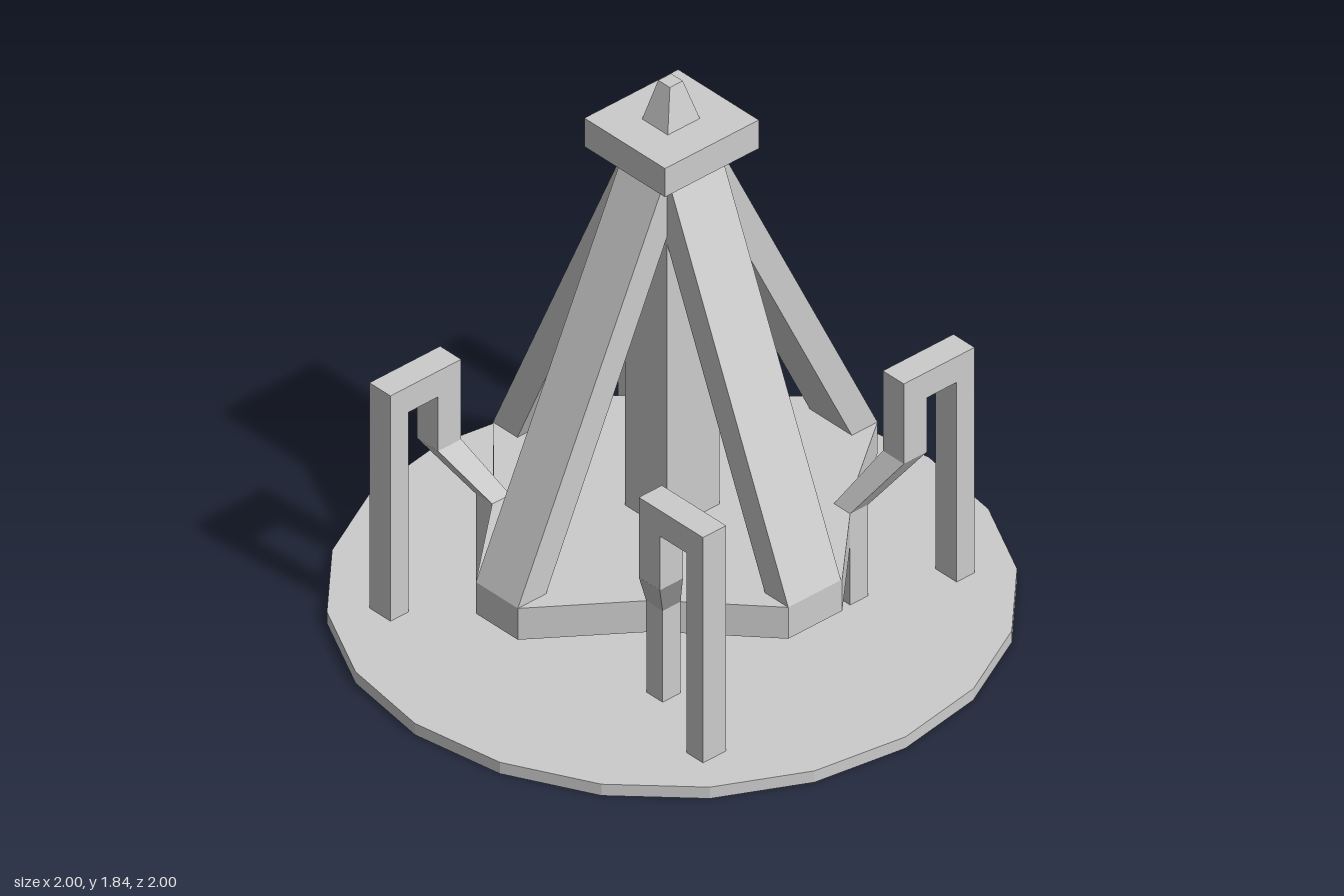
import * as THREE from 'three';

const material = new THREE.MeshStandardMaterial({ color: 0xcccccc, flatShading: true });

function add(parent, name, geometry) {
  const mesh = new THREE.Mesh(geometry, material);
  mesh.name = name;
  parent.add(mesh);
  return mesh;
}

// Four-sided block between a bottom and a top rectangle, each [x0, x1, z0, z1].
function block(y0, bottom, y1, top = bottom) {
  const geometry = new THREE.BoxGeometry(1, 1, 1);
  const p = geometry.attributes.position;
  for (let i = 0; i < p.count; i++) {
    const up = p.getY(i) > 0;
    const r = up ? top : bottom;
    p.setXYZ(i, p.getX(i) < 0 ? r[0] : r[1], up ? y1 : y0, p.getZ(i) < 0 ? r[2] : r[3]);
  }
  geometry.computeVertexNormals();
  return geometry;
}

// Bracket: post under the platform, slanted link, riser, bar and outer post.
function createBracket() {
  const bracket = new THREE.Group();
  bracket.name = 'bracket';
  const foot = [0.33, 0.4, 0.33, 0.4];
  const riser = [0.43, 0.52, 0.43, 0.52];
  add(bracket, 'innerPost', block(0.04, foot, 0.36));
  add(bracket, 'slantedLink', block(0.36, foot, 0.55, riser));
  add(bracket, 'riser', block(0.55, riser, 0.74));
  add(bracket, 'topBar', block(0.74, [0.43, 0.705, 0.43, 0.52], 0.83));
  add(bracket, 'outerPost', block(0.04, [0.635, 0.705, 0.43, 0.52], 0.74));
  return bracket;
}

export function createModel() {
  const model = new THREE.Group();
  model.name = 'tower';

  // Round base
  add(model, 'base', new THREE.CylinderGeometry(1, 1, 0.04, 20).translate(0, 0.02, 0));

  // Platform with four arms
  const outline = [
    [-0.07, -0.7], [0.11, -0.7], [0.33, -0.4], [0.4, -0.33], [0.63, -0.09], [0.63, 0.12],
    [0.4, 0.33], [0.33, 0.4], [0.11, 0.7], [-0.07, 0.7], [-0.33, 0.4], [-0.4, 0.33],
    [-0.635, 0.12], [-0.635, -0.09], [-0.4, -0.33], [-0.33, -0.4],
  ];
  const shape = new THREE.Shape(outline.map(([x, z]) => new THREE.Vector2(x, z)));
  const platform = new THREE.ExtrudeGeometry(shape, { depth: 0.11, bevelEnabled: false });
  add(model, 'platform', platform.rotateX(Math.PI / 2).translate(0, 0.36, 0));

  // Central column and its tapered foot
  const core = [-0.07, 0.11, -0.085, 0.12];
  add(model, 'column', block(0.36, core, 1.61));
  add(model, 'columnFoot', block(0.04, [-0.05, 0.065, -0.045, 0.075], 0.25, core));

  // Four leaning legs
  const [x0, x1, z0, z1] = core;
  const legs = [
    ['leftLeg', [0.53, 0.63, z0, z1], [0.01, x1, z0, z1]],
    ['rightLeg', [-0.635, -0.53, z0, z1], [x0, 0.03, z0, z1]],
    ['frontLeg', [x0, x1, 0.59, 0.7], [x0, x1, 0.02, z1]],
    ['backLeg', [x0, x1, -0.7, -0.6], [x0, x1, z0, 0.015]],
  ];
  for (const [name, bottom, top] of legs) add(model, name, block(0.36, bottom, 1.61, top));

  // Cap and spire
  add(model, 'cap', block(1.61, [-0.155, 0.19, -0.165, 0.2], 1.71));
  add(model, 'spire', block(1.71, [-0.04, 0.07, -0.045, 0.08], 1.84, [-0.015, 0.035, -0.01, 0.04]));

  // Four brackets turned around the centre
  for (let i = 0; i < 4; i++) {
    const bracket = createBracket();
    bracket.rotation.y = (i * Math.PI) / 2;
    model.add(bracket);
  }
  return model;
}
